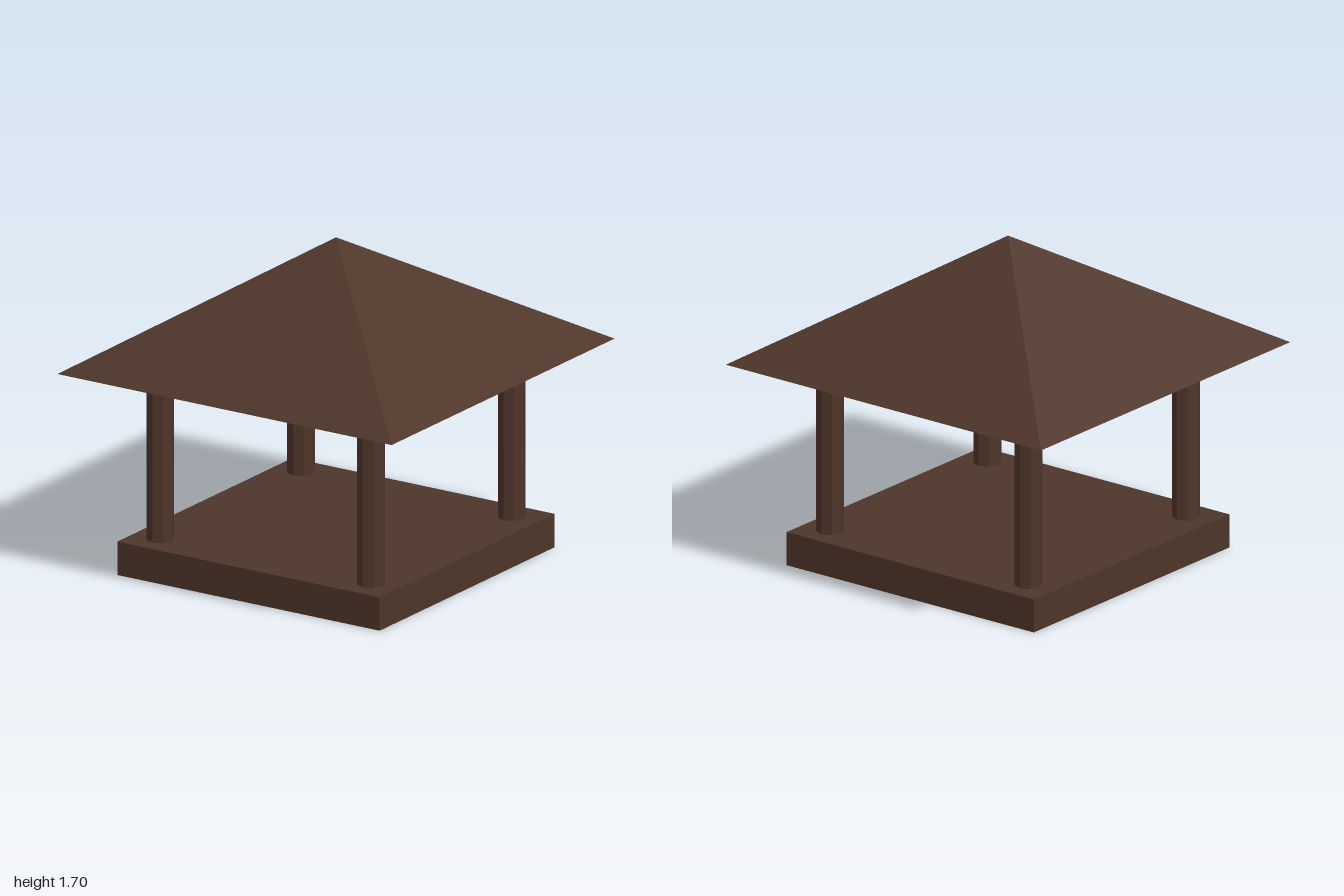
import * as THREE from 'three';

export function createModel() {
  const model = new THREE.Group();
  model.name = 'pavilion';

  const darkWood = new THREE.MeshStandardMaterial({ color: 0x4e3529, flatShading: true });
  darkWood.name = 'darkWood';

  const BASE_HEIGHT = 0.175, EAVES = 1.075, PEAK = 1.7;

  const add = (name, geometry, x, y, z) => {
    const mesh = new THREE.Mesh(geometry, darkWood);
    mesh.name = name;
    mesh.position.set(x, y, z);
    model.add(mesh);
  };

  // Square floor slab
  add('base', new THREE.BoxGeometry(1.57, BASE_HEIGHT, 1.57), 0, BASE_HEIGHT / 2, 0);

  // Four eight-sided corner posts
  const postHeight = EAVES - BASE_HEIGHT;
  const post = new THREE.CylinderGeometry(0.07, 0.07, postHeight, 8);
  for (const [side, x] of [['Left', 0.63], ['Right', -0.63]]) {
    for (const [end, z] of [['front', 0.63], ['back', -0.63]]) {
      add(`${end}${side}Post`, post, x, BASE_HEIGHT + postHeight / 2, z);
    }
  }

  // Pyramid roof with a closed underside, turned square to the base
  const roof = new THREE.ConeGeometry(Math.SQRT2, PEAK - EAVES, 4);
  roof.rotateY(Math.PI / 4);
  add('roof', roof, 0, (EAVES + PEAK) / 2, 0);

  return model;
}
